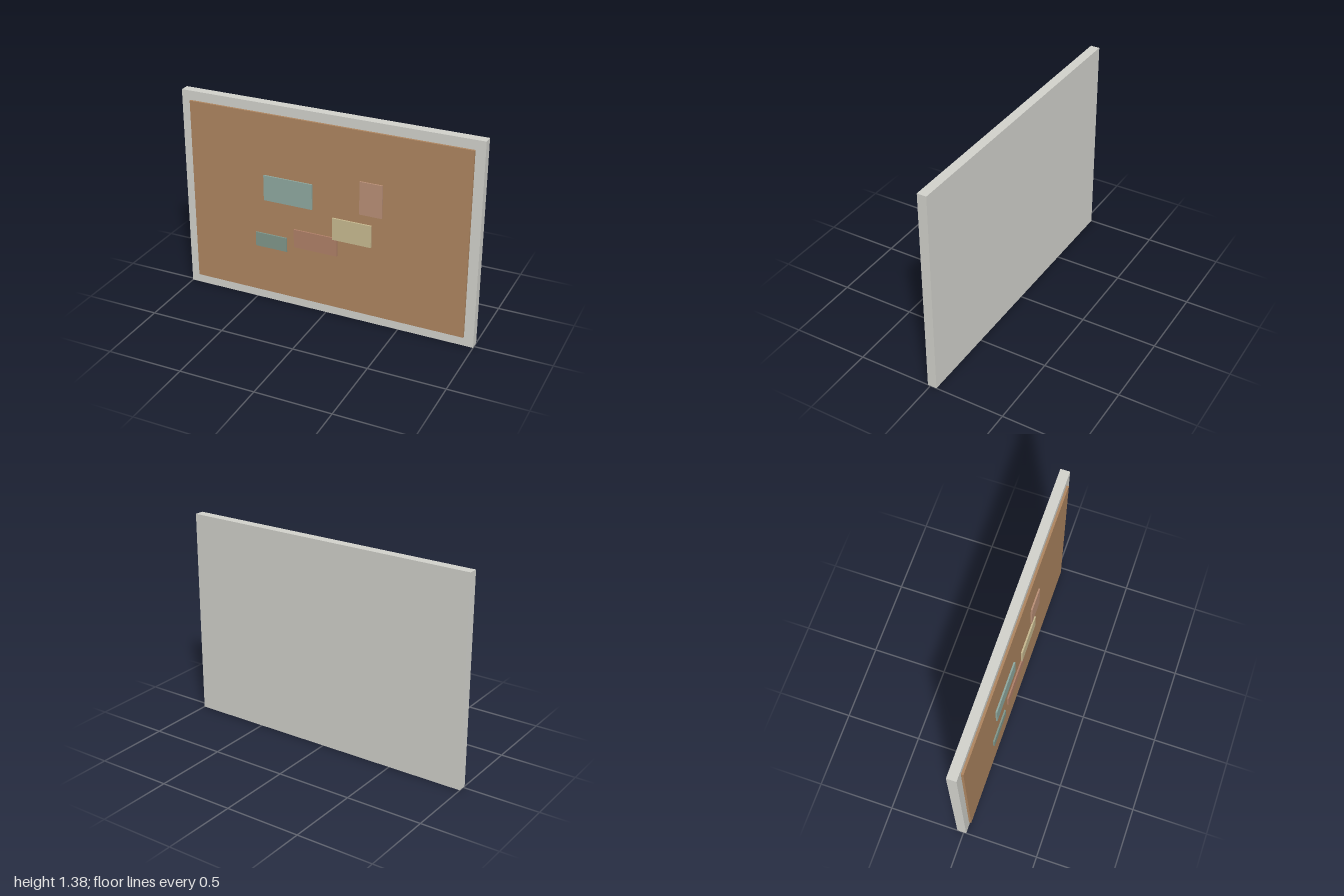
import * as THREE from 'three';

// Box given by its extents on each axis
function slab(name, color, [x0, x1], [y0, y1], [z0, z1]) {
  const mesh = new THREE.Mesh(
    new THREE.BoxGeometry(x1 - x0, y1 - y0, z1 - z0),
    new THREE.MeshStandardMaterial({ color })
  );
  mesh.position.set((x0 + x1) / 2, (y0 + y1) / 2, (z0 + z1) / 2);
  mesh.name = name;
  return mesh;
}

export function createModel() {
  const group = new THREE.Group();
  group.name = 'pinboard';

  // Backing panel whose rim shows as the frame, and the raised cork sheet
  const back = -0.043, frameFront = 0.018, corkFront = 0.033, noteFront = 0.043;
  group.add(slab('frame', 0xd2d2cc, [-1, 1], [0, 1.375], [back, frameFront]));
  group.add(slab('corkBoard', 0xae8560, [-0.938, 0.938], [0.065, 1.313], [frameFront, corkFront]));

  // Pinned notes: name, color, x range, y range
  const notes = [
    ['largeTealNote', 0x8fa9a0, [-0.422, -0.085], [0.73, 0.902]],
    ['pinkNote', 0xb98f76, [0.235, 0.385], [0.767, 0.987]],
    ['redNote', 0xb08068, [-0.214, 0.086], [0.44, 0.565]],
    ['smallTealNote', 0x80968a, [-0.487, -0.267], [0.393, 0.49]],
    ['yellowNote', 0xc8ba90, [0.053, 0.316], [0.553, 0.703]],
  ];
  for (const [name, color, x, y] of notes) {
    // The yellow note lies a hair over the red one
    const front = noteFront + (name === 'yellowNote' ? 0.0006 : 0);
    group.add(slab(name, color, x, y, [corkFront, front]));
  }
  return group;
}
